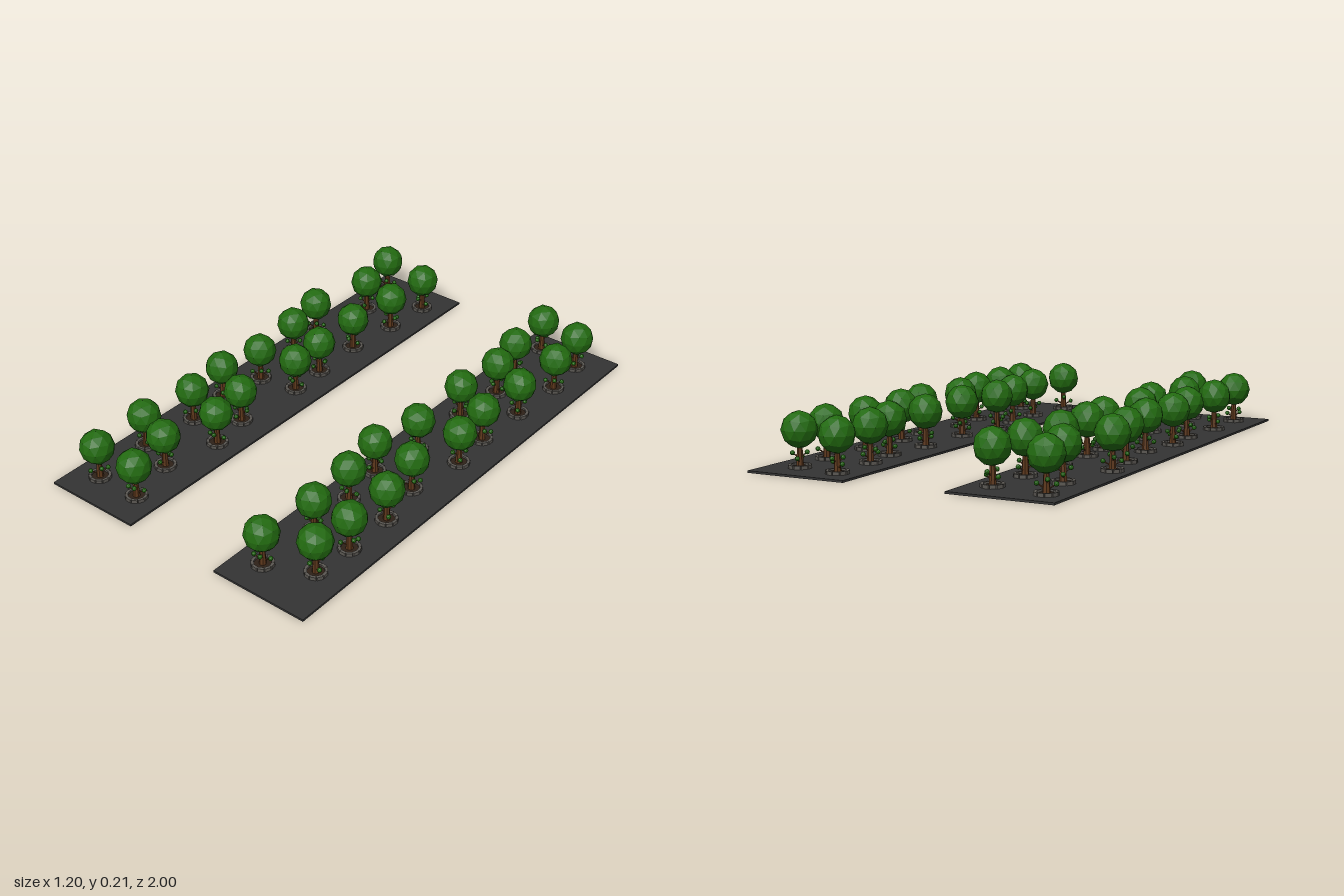
import * as THREE from 'three';

const mat = (name, color) => {
  const m = new THREE.MeshStandardMaterial({ color });
  m.name = name;
  m.flatShading = true;
  return m;
};

// Tree positions [x, z] for both strips
const SPOTS = [
  [-0.52, -0.90], [-0.30, -0.86], [-0.48, -0.70], [-0.31, -0.65], [-0.53, -0.42], [-0.33, -0.42],
  [-0.50, -0.24], [-0.32, -0.19], [-0.47, 0.00], [-0.31, -0.03], [-0.50, 0.19], [-0.33, 0.27],
  [-0.48, 0.38], [-0.30, 0.44], [-0.50, 0.62], [-0.35, 0.67], [-0.49, 0.87], [-0.30, 0.87],
  [0.29, -0.90], [0.47, -0.87], [0.30, -0.68], [0.49, -0.68], [0.33, -0.51], [0.48, -0.44],
  [0.31, -0.29], [0.47, -0.21], [0.32, 0.00], [0.49, -0.03], [0.28, 0.21], [0.45, 0.21],
  [0.31, 0.40], [0.49, 0.41], [0.33, 0.62], [0.49, 0.62], [0.31, 0.87], [0.48, 0.79],
];

export function createModel() {
  const model = new THREE.Group();
  model.name = 'treeRows';
  const asphalt = mat('darkPaving', 0x343434);
  const leaf = mat('leafGreen', 0x226a10);
  const bark = mat('bark', 0x5c371b);
  const stone = mat('stone', 0x5a5752);
  const soil = mat('soil', 0x2e2118);

  const add = (parent, name, geometry, material, x = 0, y = 0, z = 0) => {
    const mesh = new THREE.Mesh(geometry, material);
    mesh.name = name;
    mesh.position.set(x, y, z);
    parent.add(mesh);
    return mesh;
  };

  // Two long paved strips
  for (const side of [-1, 1]) {
    add(model, side > 0 ? 'leftStrip' : 'rightStrip',
      new THREE.BoxGeometry(0.4, 0.008, 2), asphalt, side * 0.4, 0.004, 0);
  }

  // Faceted crown with a pentagon on top
  const crownGeo = new THREE.IcosahedronGeometry(0.066, 1)
    .rotateZ(Math.atan(2 / (1 + Math.sqrt(5))));
  crownGeo.scale(1, 1.03, 1);
  const trunkGeo = new THREE.CylinderGeometry(0.009, 0.014, 0.09, 7);
  const soilGeo = new THREE.CylinderGeometry(0.034, 0.034, 0.006, 10);
  const stoneGeo = new THREE.BoxGeometry(0.022, 0.013, 0.011);
  const tuftGeo = new THREE.IcosahedronGeometry(0.009, 1);

  // Low side branches: [angle, reach, tip height]
  const branches = [[0.3, 0.032, 0.046], [2.2, 0.026, 0.064], [3.5, 0.033, 0.045], [5.2, 0.026, 0.062]];
  const branchGeos = branches.map(([, reach, top]) => new THREE.TubeGeometry(
    new THREE.LineCurve3(new THREE.Vector3(0, top - 0.02, 0), new THREE.Vector3(reach, top, 0)),
    1, 0.0025, 5));

  const makeTree = () => {
    const tree = new THREE.Group();
    tree.name = 'tree';
    add(tree, 'soilBed', soilGeo, soil, 0, 0.011, 0);
    add(tree, 'trunk', trunkGeo, bark, 0, 0.053, 0);
    add(tree, 'crown', crownGeo, leaf, 0, 0.145, 0);
    // Ring of kerb stones
    for (let i = 0; i < 10; i++) {
      const a = (i / 10) * Math.PI * 2;
      const block = add(tree, 'kerbStone', stoneGeo, stone,
        Math.sin(a) * 0.036, 0.0145, Math.cos(a) * 0.036);
      block.rotation.y = a;
    }
    // Branches with leafy tufts
    branches.forEach(([angle, reach, top], i) => {
      const branch = new THREE.Group();
      branch.name = 'sideBranch';
      branch.rotation.y = angle;
      add(branch, 'twig', branchGeos[i], bark);
      add(branch, 'leafTuft', tuftGeo, leaf, reach, top, 0);
      tree.add(branch);
    });
    return tree;
  };

  SPOTS.forEach(([x, z], i) => {
    const tree = makeTree();
    tree.position.set(x, 0, z);
    tree.rotation.y = (i * 2.4) % (Math.PI * 2);
    model.add(tree);
  });
  return model;
}
